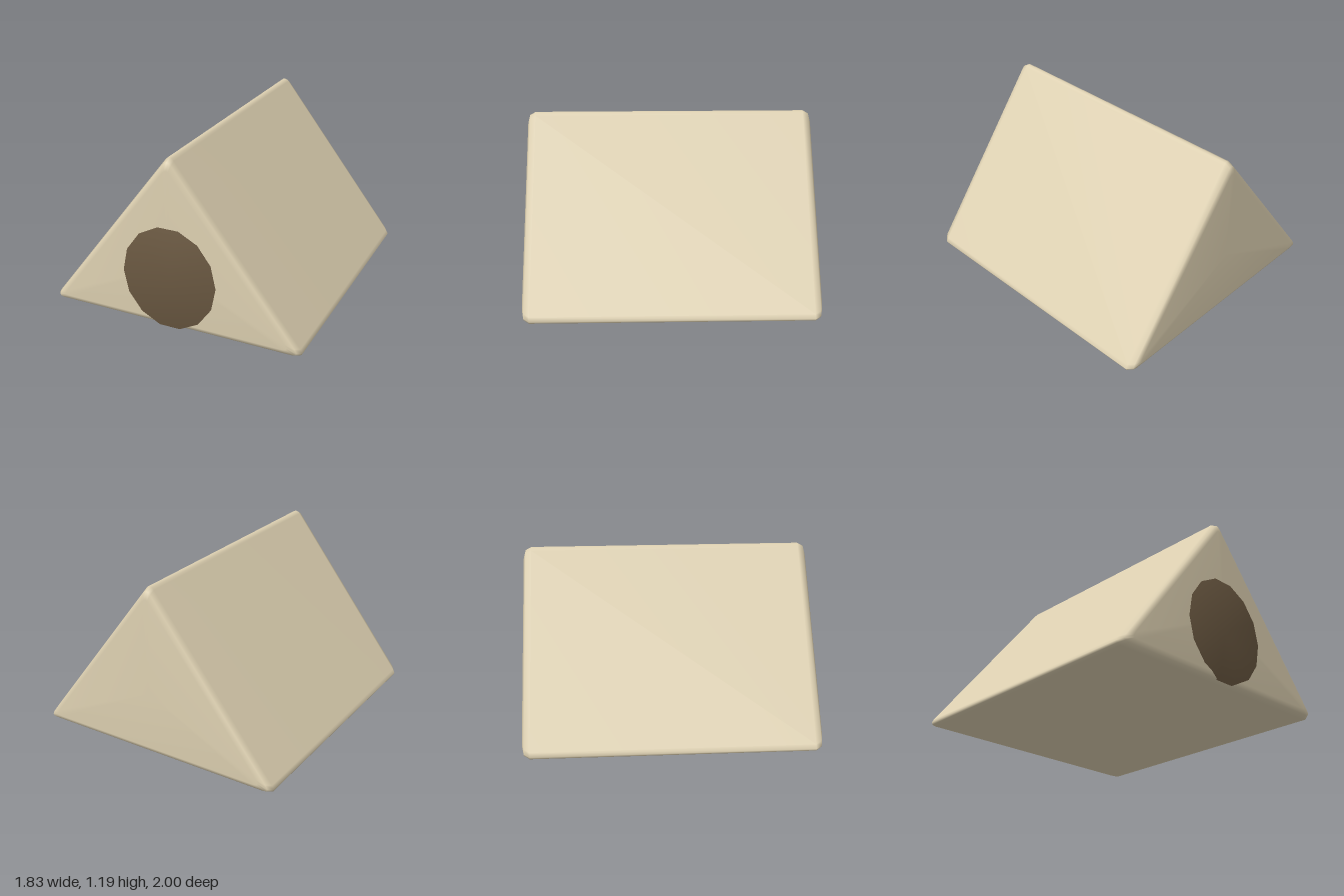
import * as THREE from 'three';
import { mergeVertices } from 'three/addons/utils/BufferGeometryUtils.js';

// Share vertices so that normals are smooth across every edge
function smooth(geometry) {
  geometry.deleteAttribute('normal');
  geometry.deleteAttribute('uv');
  const merged = mergeVertices(geometry, 1e-4);
  merged.computeVertexNormals();
  return merged;
}

// Triangular prism with softened edges: rings of one profile, shrunk towards both ends
function prismGeometry() {
  const right = [[0.88, 0], [0.907, 0.005], [0.915, 0.02], [0.9, 0.047], [0.03, 1.17], [0.016, 1.185]];
  const profile = [...right, [0, 1.19], ...right.map(([x, y]) => [-x, y]).reverse()];
  const n = profile.length;
  const centreY = 0.454;
  const rings = [[-1, 0.9], [-0.985, 0.97], [-0.945, 1], [0.935, 1], [0.975, 0.97], [0.99, 0.9]];

  const positions = [];
  const index = [];
  for (const [z, s] of rings) {
    for (const [x, y] of profile) positions.push(x * s, centreY + (y - centreY) * s, z);
  }
  for (let r = 0; r < rings.length - 1; r++) {
    for (let i = 0; i < n; i++) {
      const j = (i + 1) % n;
      const a = r * n + i, b = r * n + j;
      index.push(a, b, b + n, a, b + n, a + n);
    }
  }
  // End faces
  const back = rings.length * n, front = back + 1, last = (rings.length - 1) * n;
  positions.push(0, centreY, -1, 0, centreY, 0.99);
  for (let i = 0; i < n; i++) {
    const j = (i + 1) % n;
    index.push(back, j, i, front, last + i, last + j);
  }
  const geometry = new THREE.BufferGeometry();
  geometry.setAttribute('position', new THREE.Float32BufferAttribute(positions, 3));
  geometry.setIndex(index);
  geometry.computeVertexNormals();
  return geometry;
}

export function createModel() {
  const group = new THREE.Group();
  group.name = 'tent';

  const body = new THREE.Mesh(prismGeometry(), new THREE.MeshStandardMaterial({ color: 0xdccfb0 }));
  body.name = 'body';
  group.add(body);

  // Dark round entrance, a shallow 14-sided disc set into the front
  const disc = new THREE.CylinderGeometry(1, 1, 0.05, 14, 1, false, Math.PI / 2);
  disc.rotateX(Math.PI / 2);
  disc.scale(0.335, 0.364, 1);
  const entrance = new THREE.Mesh(smooth(disc), new THREE.MeshStandardMaterial({ color: 0x6a5841 }));
  entrance.name = 'entrance';
  entrance.position.set(0, 0.365, 0.975);
  group.add(entrance);

  return group;
}
